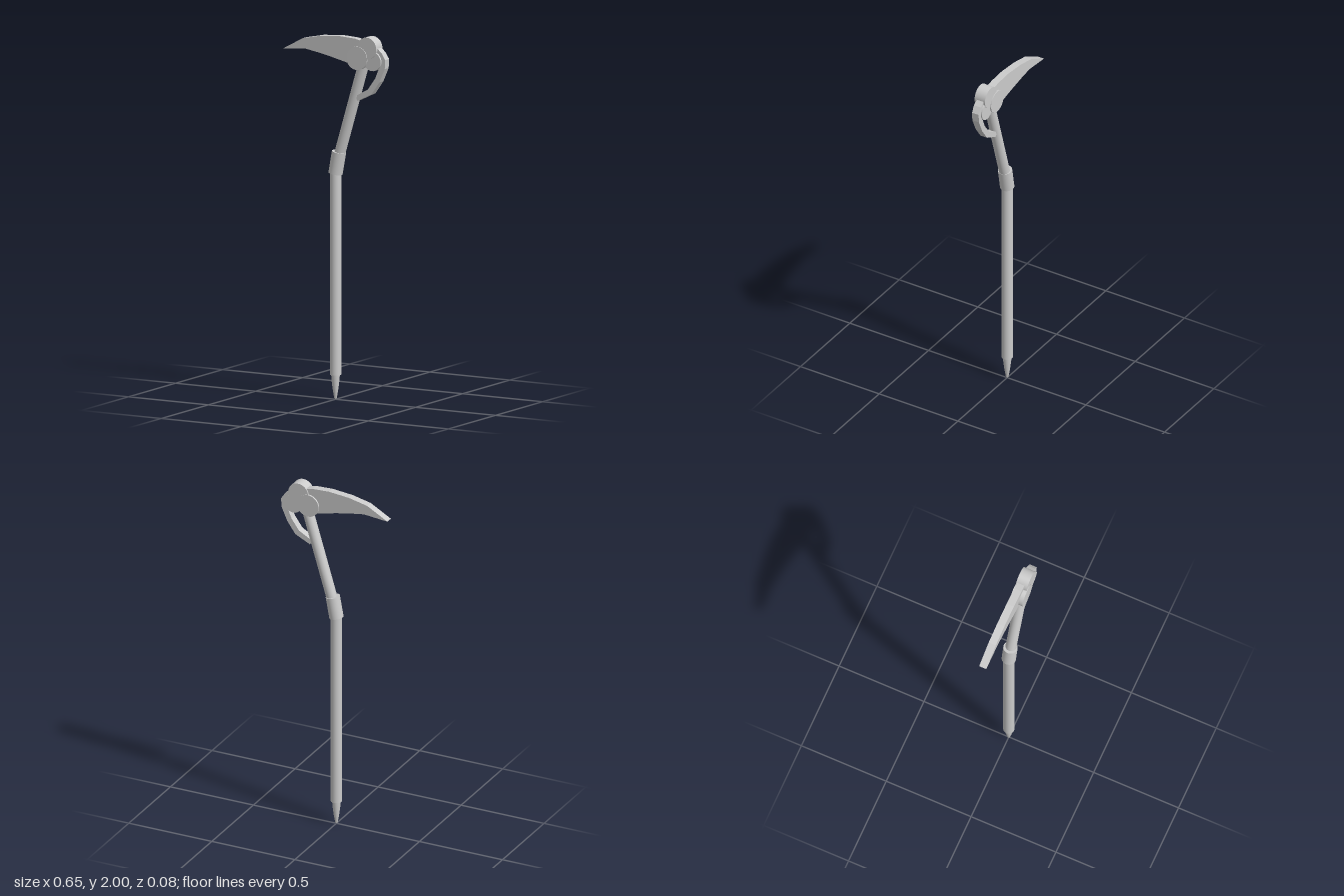
import * as THREE from 'three';

const material = new THREE.MeshStandardMaterial({ color: 0xcccccc });
const flat = new THREE.MeshStandardMaterial({ color: 0xcccccc, flatShading: true });

export function createModel() {
  const group = new THREE.Group();

  const add = (name, geometry, mat = material) => {
    const mesh = new THREE.Mesh(geometry, mat);
    mesh.name = name;
    group.add(mesh);
    return mesh;
  };

  // Cylinder between two points of the xy plane
  const rod = (name, x1, y1, x2, y2, radius) => {
    const mesh = add(name, new THREE.CylinderGeometry(radius, radius, Math.hypot(x2 - x1, y2 - y1), 32));
    mesh.position.set((x1 + x2) / 2, (y1 + y2) / 2, 0);
    mesh.rotation.z = -Math.atan2(x2 - x1, y2 - y1);
    return mesh;
  };

  // Flat plate cut from an outline, centred on z = 0
  const plate = (name, points, depth) => {
    const shape = new THREE.Shape(points.map(([x, y]) => new THREE.Vector2(x, y)));
    const geometry = new THREE.ExtrudeGeometry(shape, { depth, bevelEnabled: false });
    geometry.translate(0, 0, -depth / 2);
    return add(name, geometry, flat);
  };

  // Foot spike
  const profile = [[0, 0], [0.007, 0.006], [0.016, 0.06], [0.022, 0.11], [0.024, 0.145]];
  add('footSpike', new THREE.LatheGeometry(profile.map(([x, y]) => new THREE.Vector2(x, y)), 32));

  // Bent handle and the collar around the bend
  rod('lowerShaft', 0, 0.135, 0, 1.26, 0.031);
  rod('collar', 0, 1.235, 0.022, 1.355, 0.039);
  rod('upperShaft', 0.01, 1.29, 0.18, 1.86, 0.03);

  // Three overlapping round bosses at the head: x, y, radius, back z, front z
  const bosses = {
    lowerBoss: [0.155, 1.882, 0.064, -0.035, 0.039],
    upperBoss: [0.215, 1.94, 0.06, -0.031, 0.035],
    rearBoss: [0.247, 1.872, 0.053, -0.028, 0.032],
  };
  for (const [name, [x, y, r, back, front]] of Object.entries(bosses)) {
    const mesh = add(name, new THREE.CylinderGeometry(r, r, front - back, 40));
    mesh.rotation.x = Math.PI / 2;
    mesh.position.set(x, y, (back + front) / 2);
  }

  // Curved blade, sheared slightly backwards towards its tip
  const blade = plate('blade', [
    [-0.323, 1.89], [-0.18, 1.902], [-0.1, 1.889], [-0.02, 1.873], [0.11, 1.843], [0.17, 1.85],
    [0.17, 1.977], [0.13, 1.985], [0.03, 1.99], [-0.09, 1.98], [-0.2, 1.957],
  ], 0.042);
  const position = blade.geometry.attributes.position;
  for (let i = 0; i < position.count; i++) {
    position.setZ(i, position.getZ(i) - 0.0035 + (position.getX(i) - 0.17) * 0.014);
  }

  // Hooked brace from the head down to the upper shaft
  plate('brace', [
    [0.22, 1.95], [0.272, 1.945], [0.3, 1.92], [0.323, 1.885], [0.32, 1.835], [0.287, 1.76],
    [0.238, 1.69], [0.15, 1.647], [0.135, 1.67], [0.155, 1.682], [0.215, 1.715],
    [0.26, 1.778], [0.286, 1.84], [0.283, 1.88], [0.26, 1.905], [0.22, 1.91],
  ], 0.042);

  return group;
}
